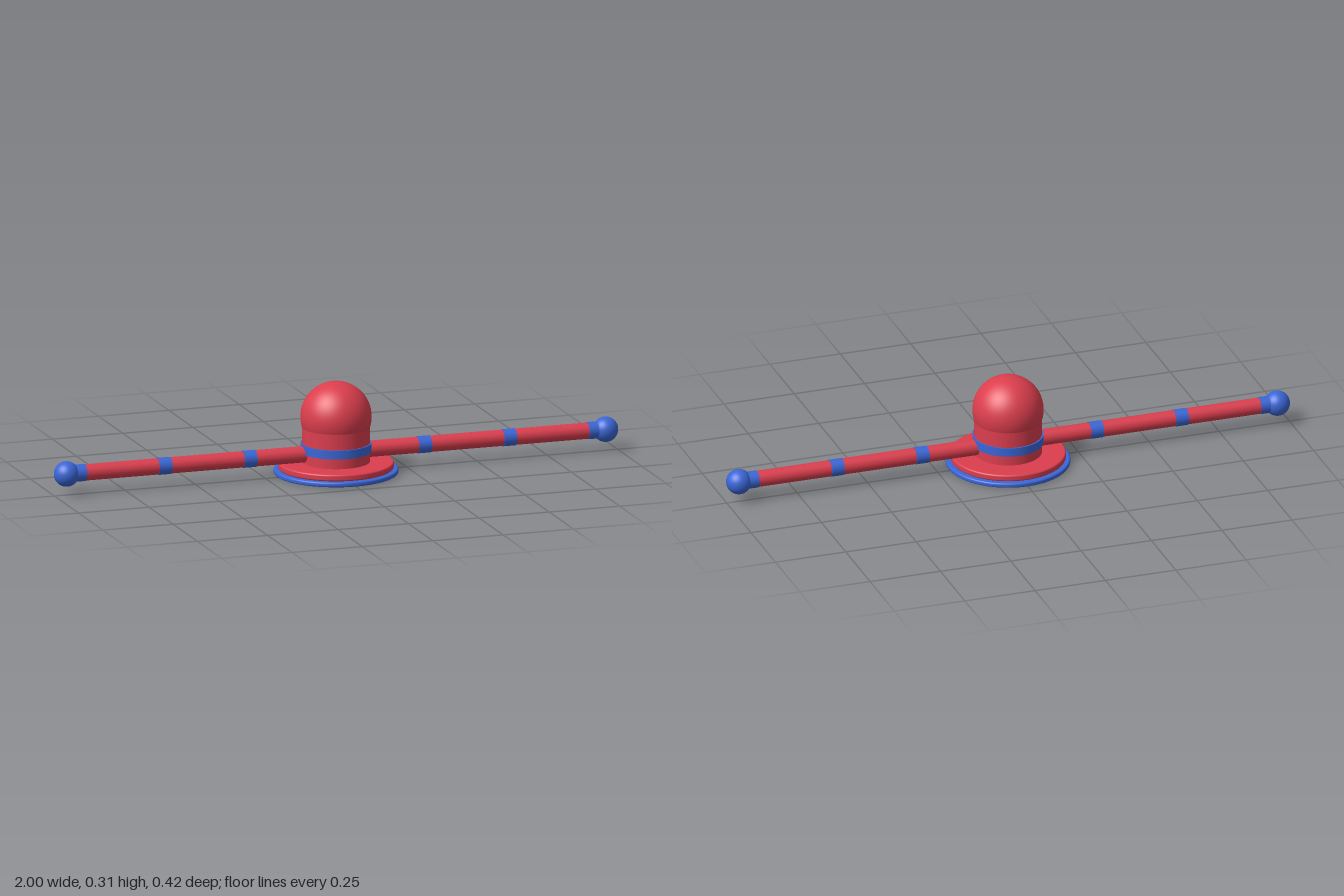
import * as THREE from 'three';

export function createModel() {
  const model = new THREE.Group();
  const red = new THREE.MeshStandardMaterial({ color: 0xdc3e4e });
  red.name = 'red';
  const blue = new THREE.MeshStandardMaterial({ color: 0x3a66d6 });
  blue.name = 'blue';

  const add = (name, geometry, material, x = 0, y = 0) => {
    const mesh = new THREE.Mesh(geometry, material);
    mesh.name = name;
    mesh.position.set(x, y, 0);
    model.add(mesh);
    return mesh;
  };

  // Disc with a rounded rim, standing between two heights
  const disc = (radius, y0, y1, round) => {
    const shape = new THREE.Path();
    shape.moveTo(0, y0);
    shape.lineTo(radius - round, y0);
    shape.absarc(radius - round, y0 + round, round, -Math.PI / 2, 0, false);
    shape.absarc(radius - round, y1 - round, round, 0, Math.PI / 2, false);
    shape.lineTo(0, y1);
    // Doubled points beside the flat faces keep them flat
    const points = [];
    for (const p of shape.getPoints(5)) {
      const last = points[points.length - 1];
      if (!last || last.distanceTo(p) > 1e-5) points.push(p);
    }
    points.splice(1, 0, new THREE.Vector2(radius - round - 0.001, y0));
    points.splice(points.length - 1, 0, new THREE.Vector2(radius - round - 0.001, y1));
    return new THREE.LatheGeometry(points, 64);
  };

  // Stepped base
  add('basePlate', disc(0.21, 0.002, 0.019, 0.006), blue);
  add('upperPlate', disc(0.195, 0.019, 0.042, 0.006), red);

  // Domed body
  add('body', new THREE.CylinderGeometry(0.1145, 0.1145, 0.155, 64), red, 0, 0.1195);
  add('dome', new THREE.SphereGeometry(0.12, 48, 32), red, 0, 0.197);
  add('bodyBand', new THREE.CylinderGeometry(0.12, 0.12, 0.03, 64), blue, 0, 0.092);

  // Arms with bands and ball ends
  const axisY = 0.075;
  const rod = (name, radius, length, material, x) => {
    add(name, new THREE.CylinderGeometry(radius, radius, length, 32), material, x, axisY)
      .rotation.z = Math.PI / 2;
  };
  for (const [side, s] of [['left', 1], ['right', -1]]) {
    rod(side + 'Arm', 0.0275, 0.95, red, s * 0.475);
    rod(side + 'InnerBand', 0.029, 0.045, blue, s * 0.31);
    rod(side + 'OuterBand', 0.029, 0.045, blue, s * 0.612);
    rod(side + 'EndCollar', 0.029, 0.05, blue, s * 0.917);
    add(side + 'Ball', new THREE.SphereGeometry(0.043, 32, 24), blue, s * 0.957, axisY);
  }
  return model;
}
